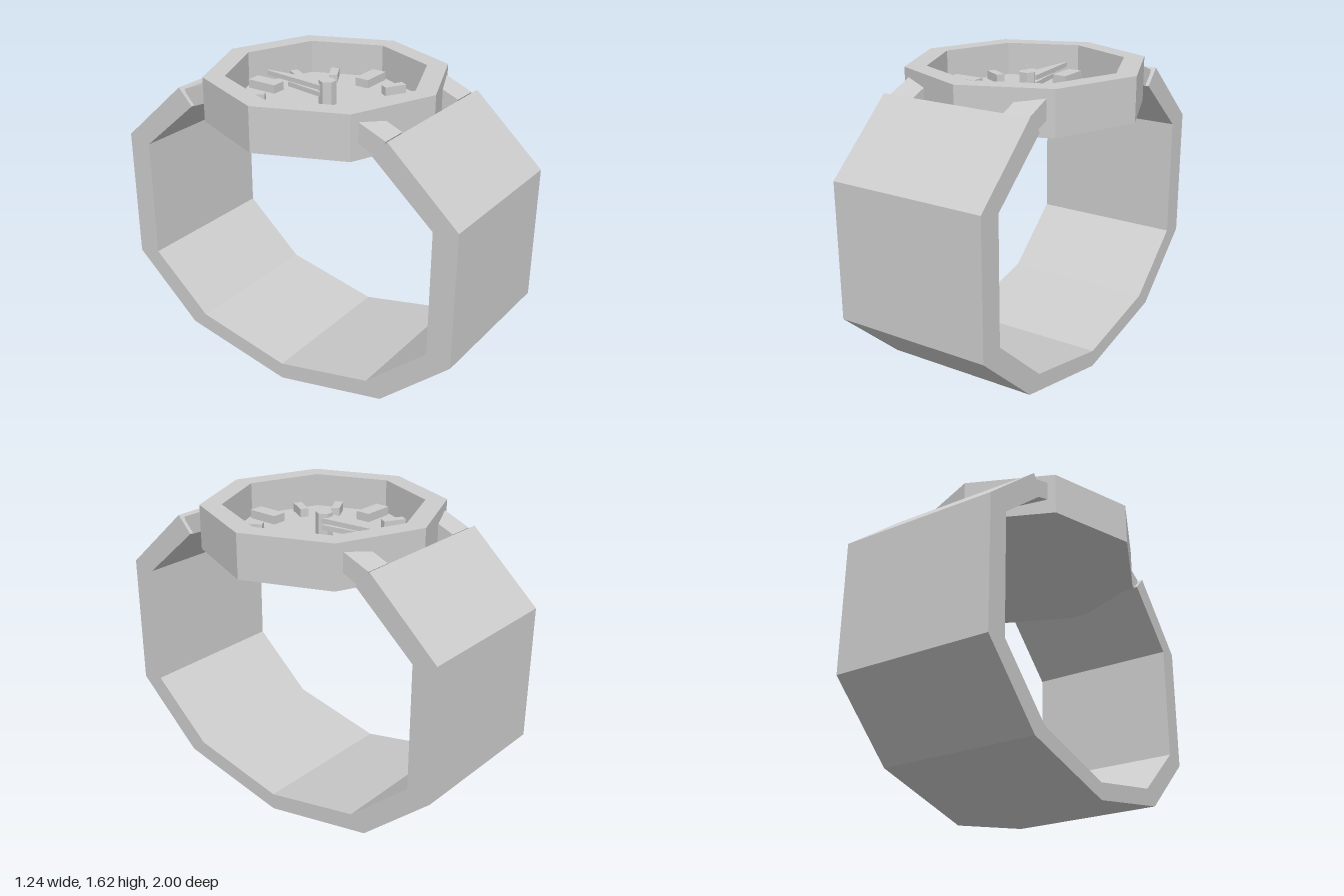
import * as THREE from 'three';

export function createModel() {
  const model = new THREE.Group();
  const grey = new THREE.MeshStandardMaterial({ color: 0xcccccc });
  grey.name = 'light grey';

  // Faceted mesh: one normal per face
  function part(name, geometry, parent = model) {
    const g = geometry.index ? geometry.toNonIndexed() : geometry;
    g.computeVertexNormals();
    const mesh = new THREE.Mesh(g, grey);
    mesh.name = name;
    parent.add(mesh);
    return mesh;
  }
  const extrude = (points, depth) => new THREE.ExtrudeGeometry(
    new THREE.Shape(points.map(([x, y]) => new THREE.Vector2(x, y))),
    { depth, bevelEnabled: false });

  // Strap: open band, half profile (z, y) mirrored front to back
  const outer = [[0.62, 1.52], [1, 1.18], [1, 0.47], [0.62, 0.13]];
  const inner = [[0.54, 1.435], [0.87, 1.15], [0.87, 0.5], [0.535, 0.205]];
  const flip = (list) => list.map(([z, y]) => [-z, y]);
  const band = [
    ...outer, [0, 0], ...flip(outer).reverse(),
    ...flip(inner), [0, 0.09], ...[...inner].reverse(),
  ];
  part('strap', extrude(band, 0.84).rotateY(-Math.PI / 2).translate(0.42, 0, 0));

  // Octagonal case with a recessed dial
  const floorY = 1.44;
  const profile = [[0, 1.385], [0.62, 1.385], [0.62, 1.615], [0.51, 1.615], [0.51, floorY], [0, floorY]];
  part('case', new THREE.LatheGeometry(profile.map(([r, y]) => new THREE.Vector2(r, y)), 8));

  // Four sloping lugs
  for (const side of [-1, 1]) {
    for (const end of [-1, 1]) {
      const lug = part('lug', new THREE.BoxGeometry(0.14, 0.095, 0.18));
      lug.position.set(side * 0.33, 1.5, end * 0.499);
      lug.rotation.x = end * 0.385;
    }
  }

  // Hour markers, larger at the quarters
  const markers = new THREE.Group();
  markers.name = 'hourMarkers';
  model.add(markers);
  for (let i = 0; i < 12; i++) {
    const quarter = i % 3 === 0;
    const [w, l, r] = quarter ? [0.08, 0.17, 0.395] : [0.045, 0.12, 0.378];
    part('hourMarker', new THREE.BoxGeometry(w, 0.045, l)
      .translate(0, floorY + 0.0225, -r).rotateY(-i * Math.PI / 6), markers);
  }

  // Hexagonal centre post and tapered hands
  part('centrePost', new THREE.CylinderGeometry(0.045, 0.045, 0.125, 6)
    .rotateY(Math.PI / 6).translate(0, floorY + 0.0625, 0));
  const hand = (name, length, y) => part(name,
    extrude([[-0.043, 0.02], [0.043, 0.02], [0.006, length], [-0.006, length]], 0.025)
      .rotateX(-Math.PI / 2).translate(0, y, 0));
  hand('hourHand', 0.245, 1.485);
  hand('minuteHand', 0.38, 1.52);

  return model;
}
